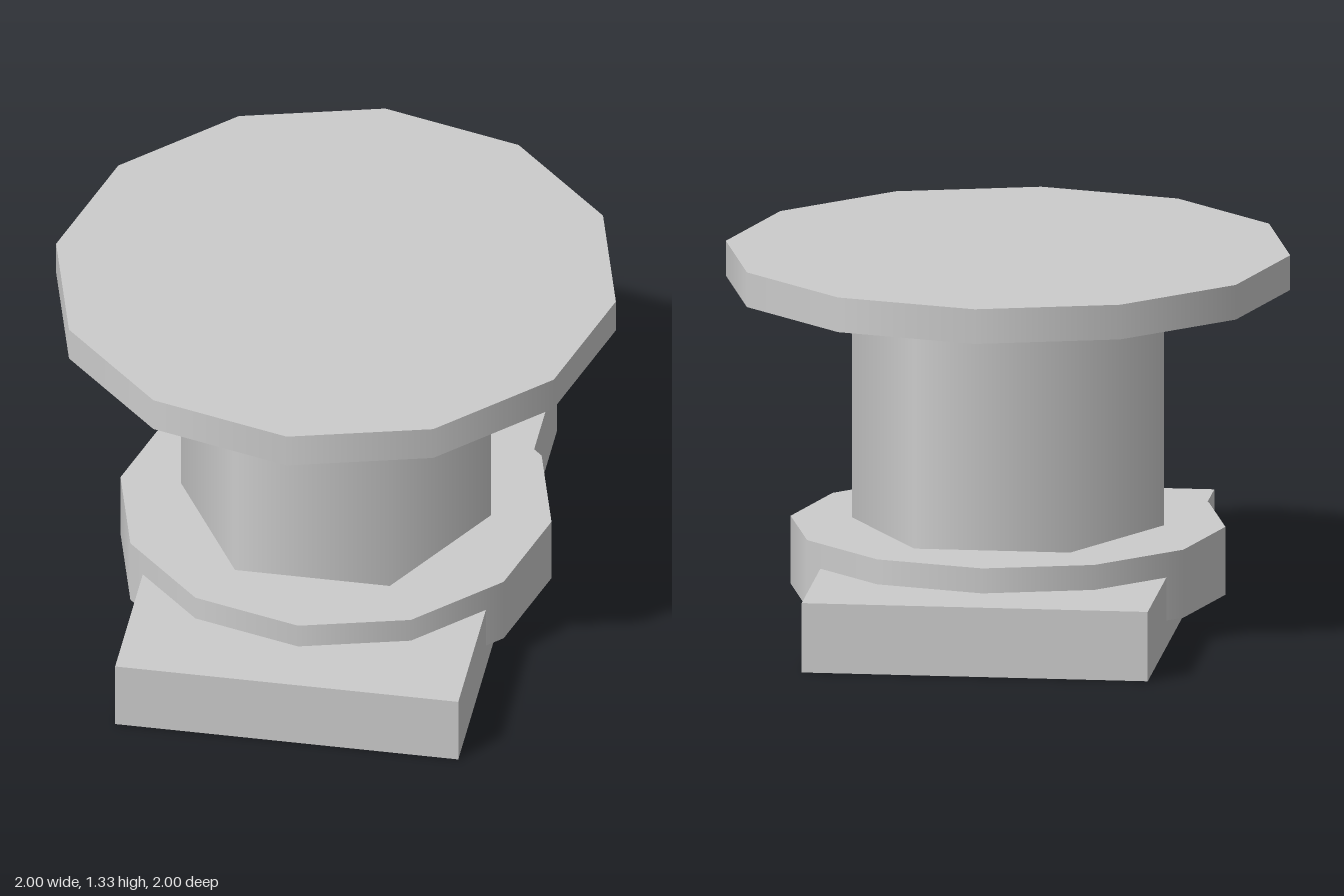
import * as THREE from 'three';

export function createModel() {
  const model = new THREE.Group();
  const grey = new THREE.MeshStandardMaterial({ color: 0xcccccc });
  grey.name = 'light grey';

  function add(name, geometry, y) {
    const mesh = new THREE.Mesh(geometry, grey);
    mesh.name = name;
    mesh.position.y = y;
    model.add(mesh);
  }

  // Smooth-shaded prism with corners on the x axis, standing between two heights
  function prism(name, radius, sides, bottom, top) {
    const geometry = new THREE.CylinderGeometry(radius, radius, top - bottom, sides, 1, false, Math.PI / 2);
    add(name, geometry, (bottom + top) / 2);
  }

  // Rectangular foot
  add('basePlate', new THREE.BoxGeometry(1.226, 0.25, 2), 0.125);

  // Collar overhanging the foot, six-sided column and round top
  prism('collar', 0.77, 12, 0.095, 0.34);
  prism('column', 0.553, 6, 0.34, 1.2);
  prism('topDisc', 1, 12, 1.2, 1.325);

  return model;
}
